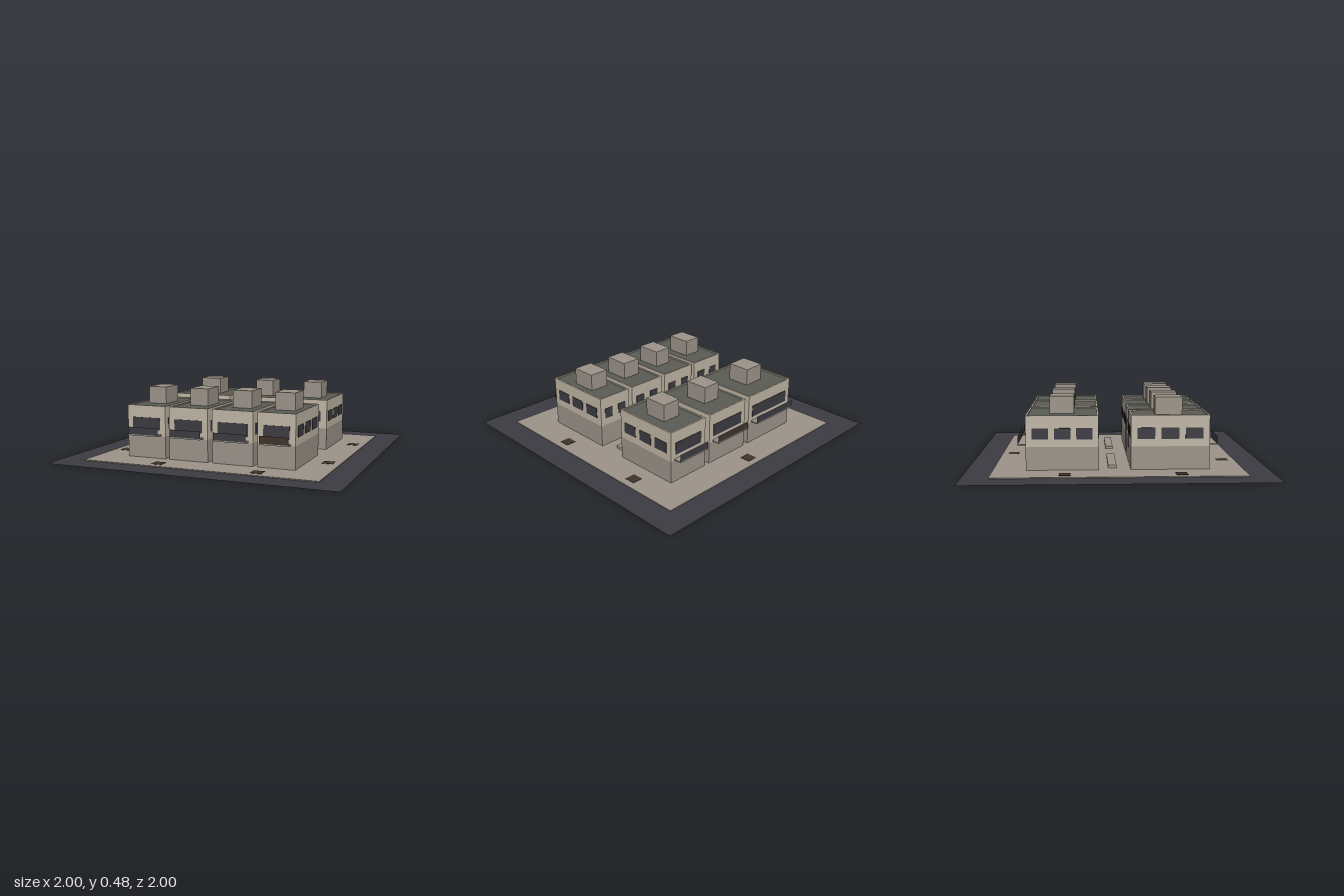
import * as THREE from 'three';

const mat = (name, color, extra = {}) => {
  const m = new THREE.MeshStandardMaterial({ color, ...extra });
  m.name = name;
  return m;
};

export function createModel() {
  const asphalt = mat('asphalt and glass', 0x3c3b42, { side: THREE.DoubleSide });
  const stone = mat('stone', 0x9c948a);
  const plaster = mat('light plaster', 0xc0b6a5);
  const roofing = mat('roofing', 0x5a5c54);
  const brown = mat('dark brown', 0x3f342b, { side: THREE.DoubleSide });

  const model = new THREE.Group();
  model.name = 'cityBlock';

  // Box given by its min and max on each axis
  const box = (parent, name, m, x0, x1, y0, y1, z0, z1) => {
    const mesh = new THREE.Mesh(new THREE.BoxGeometry(x1 - x0, y1 - y0, z1 - z0), m);
    mesh.position.set((x0 + x1) / 2, (y0 + y1) / 2, (z0 + z1) / 2);
    mesh.name = name;
    parent.add(mesh);
    return mesh;
  };

  // Ground
  const road = new THREE.Mesh(new THREE.PlaneGeometry(2, 2), asphalt);
  road.rotation.x = -Math.PI / 2;
  road.name = 'road';
  model.add(road);
  box(model, 'pavement', stone, -0.825, 0.825, 0, 0.006, -0.825, 0.825);

  // Planting pits
  for (const [x, z] of [[0, -0.745], [-0.745, -0.35], [0.74, -0.4], [-0.745, 0.4],
    [0.74, 0.3], [-0.3, 0.74], [0.4, 0.74]]) {
    box(model, 'plantingPit', brown, x - 0.037, x + 0.037, 0.004, 0.008, z - 0.037, z + 0.037);
  }

  // Low courtyard benches
  for (const s of [-1, 1]) {
    box(model, 'courtyardBench', stone, s * 0.35 - 0.2, s * 0.35 + 0.2, 0.004, 0.026, -0.068, -0.012);
  }

  // A wall frame: local x runs along the wall, local z points outward
  const wallFrame = (house, name, angle, distance) => {
    const g = new THREE.Group();
    g.name = name;
    g.rotation.y = angle;
    g.position.set(Math.sin(angle) * distance, 0, Math.cos(angle) * distance);
    house.add(g);
    return g;
  };

  // Row of small windows on a wall of the given length
  const windowRow = (wall, length) => {
    const n = length > 0.4 ? 3 : 2;
    const step = length * (n === 3 ? 0.305 : 0.46);
    const half = length * (n === 3 ? 0.112 : 0.125);
    for (let i = 0; i < n; i++) {
      const x = (i - (n - 1) / 2) * step;
      box(wall, 'window', asphalt, x - half, x + half, 0.21, 0.284, -0.002, 0.003);
    }
  };

  // One house: plinth, upper storey, parapet, roof, rooftop room, balcony, windows
  const house = (x0, x1, z0, z1, front, roomX0, roomX1, railMat) => {
    const g = new THREE.Group();
    g.name = 'house';
    const cx = (x0 + x1) / 2, cz = (z0 + z1) / 2;
    const w = (x1 - x0) / 2, d = (z1 - z0) / 2;
    g.position.set(cx, 0, cz);
    model.add(g);
    const top = 0.367, t = 0.012;
    box(g, 'groundFloor', stone, -w, w, 0, 0.16, -d, d);
    box(g, 'upperFloor', plaster, -w, w, 0.16, 0.355, -d, d);
    box(g, 'roof', roofing, -w + t, w - t, 0.354, 0.36, -d + t, d - t);
    for (const s of [-1, 1]) {
      const px = s * (w - t / 2), pz = s * (d - t / 2);
      box(g, 'sideParapet', plaster, px - t / 2, px + t / 2, 0.355, top, -d, d);
      box(g, 'endParapet', plaster, -w + t, w - t, 0.355, top, pz - t / 2, pz + t / 2);
    }
    const rz = front > 0 ? [0.245, 0.425] : [-0.455, -0.292];
    box(g, 'rooftopRoom', stone, roomX0 - cx, roomX1 - cx, 0.358, 0.478, rz[0] - cz, rz[1] - cz);

    // Street side: wide window behind a balcony
    const street = wallFrame(g, 'streetSide', front > 0 ? 0 : Math.PI, d);
    box(street, 'wideWindow', asphalt, -w + 0.04, w - 0.04, 0.2, 0.284, -0.002, 0.003);
    box(street, 'balconyFloor', stone, -w + 0.03, w - 0.03, 0.164, 0.172, 0, 0.055);
    const rail = new THREE.Mesh(new THREE.PlaneGeometry(2 * w - 0.06, 0.05), railMat);
    rail.position.set(0, 0.197, 0.055);
    rail.name = 'balconyRail';
    street.add(rail);

    // Courtyard and side walls
    windowRow(wallFrame(g, 'courtyardSide', front > 0 ? Math.PI : 0, d), 2 * w);
    for (const s of [-1, 1]) windowRow(wallFrame(g, 'sideWall', s * Math.PI / 2, w), 2 * d);
  };

  // Front row
  house(-0.608, -0.32, 0.08, 0.6, 1, -0.535, -0.403, asphalt);
  house(-0.29, -0.005, 0.08, 0.6, 1, -0.215, -0.08, asphalt);
  house(0.028, 0.317, 0.08, 0.6, 1, 0.103, 0.241, asphalt);
  house(0.348, 0.605, 0.08, 0.6, 1, 0.406, 0.545, brown);

  // Back row
  house(-0.608, -0.153, -0.607, -0.13, -1, -0.46, -0.305, asphalt);
  house(-0.11, 0.248, -0.607, -0.13, -1, 0, 0.135, brown);
  house(0.29, 0.605, -0.607, -0.13, -1, 0.38, 0.517, asphalt);

  return model;
}
